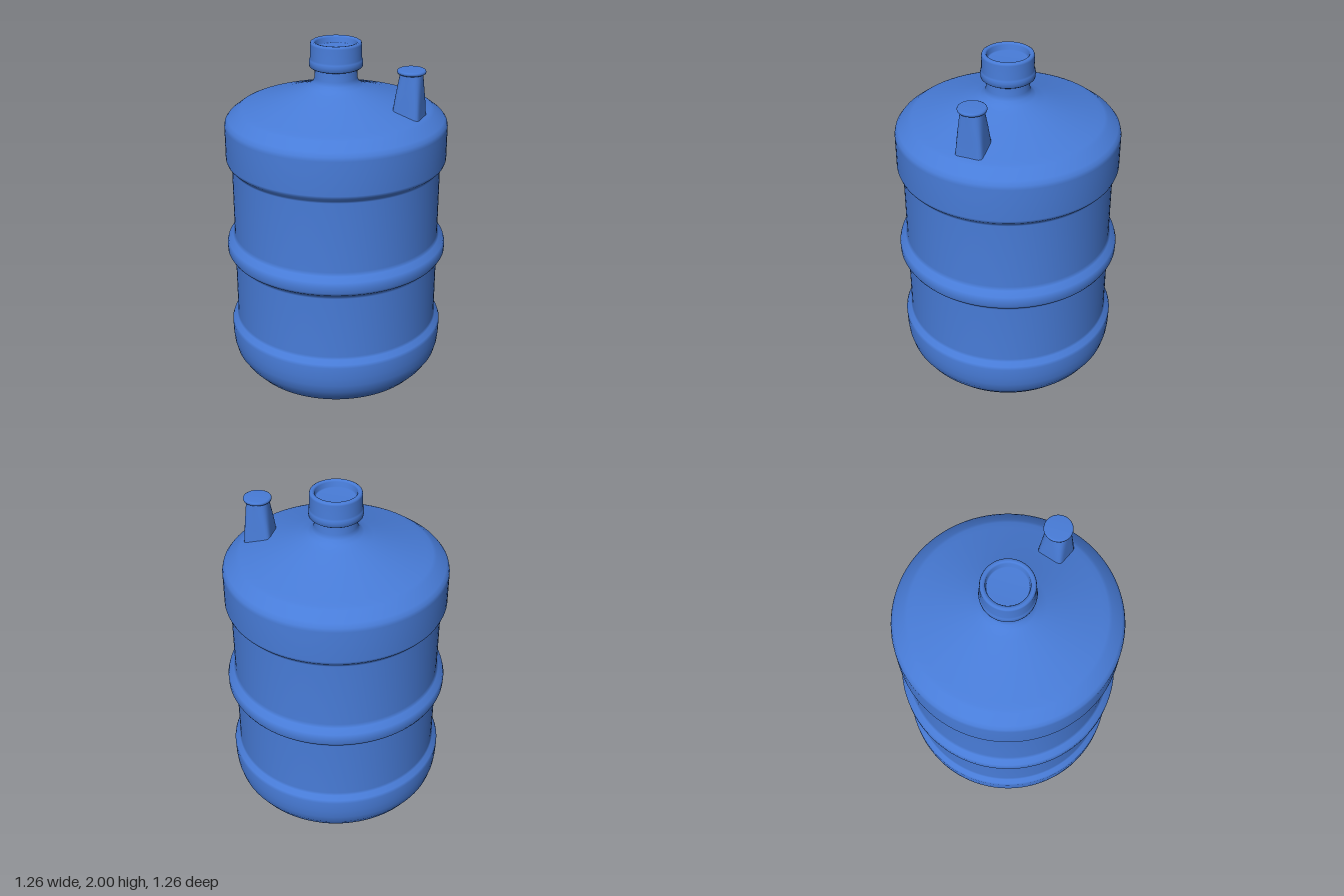
import * as THREE from 'three';

const blue = new THREE.MeshStandardMaterial({ color: 0x487cd8 });
blue.name = 'blue plastic';

function lathe(name, points, segments) {
  const profile = points.map(([r, y]) => new THREE.Vector2(r, y));
  const mesh = new THREE.Mesh(new THREE.LatheGeometry(profile, segments), blue);
  mesh.name = name;
  return mesh;
}

// Loft from a rounded square to a circle; each ring is [y, half width, squareness exponent, x shift]
function loft(name, rings, sides) {
  const pos = [], index = [];
  rings.forEach(([y, h, n, dx]) => {
    for (let i = 0; i < sides; i++) {
      const a = (i / sides) * Math.PI * 2, c = Math.cos(a), s = Math.sin(a);
      const r = h / Math.pow(Math.abs(c) ** n + Math.abs(s) ** n, 1 / n);
      pos.push(c * r + dx, y, s * r);
    }
  });
  for (let j = 0; j < rings.length - 1; j++) {
    for (let i = 0; i < sides; i++) {
      const k = (i + 1) % sides;
      const a = j * sides + i, b = j * sides + k, c = a + sides, d = b + sides;
      index.push(a, c, b, b, c, d);
    }
  }
  const geo = new THREE.BufferGeometry();
  geo.setAttribute('position', new THREE.Float32BufferAttribute(pos, 3));
  geo.setIndex(index);
  geo.computeVertexNormals();
  const mesh = new THREE.Mesh(geo, blue);
  mesh.name = name;
  return mesh;
}

export function createModel() {
  const model = new THREE.Group();
  model.name = 'waterBottle';

  // Ribbed body with a conical shoulder and neck
  model.add(lathe('body', [
    [0, 0.005], [0.34, 0.003], [0.4, 0.01], [0.47, 0.026], [0.53, 0.055], [0.57, 0.1],
    [0.602, 0.15], [0.615, 0.2], [0.62, 0.25], [0.622, 0.32], [0.615, 0.338],
    [0.594, 0.36], [0.588, 0.375], [0.588, 0.74],
    [0.594, 0.757], [0.622, 0.778], [0.631, 0.795], [0.632, 0.83], [0.625, 0.855],
    [0.598, 0.88], [0.588, 0.9], [0.588, 1.3],
    [0.594, 1.314], [0.614, 1.334], [0.62, 1.352], [0.62, 1.54], [0.615, 1.562],
    [0.6, 1.582], [0.545, 1.624], [0.525, 1.633], [0.49, 1.643], [0.35, 1.685],
    [0.2, 1.735], [0.15, 1.757], [0.127, 1.775], [0.117, 1.8], [0.115, 1.87],
  ], 96));

  // Cap with a lower flange and a recessed top
  model.add(lathe('cap', [
    [0.1, 1.855], [0.137, 1.856], [0.146, 1.863], [0.148, 1.885], [0.146, 1.9],
    [0.141, 1.908], [0.141, 1.985], [0.138, 1.995], [0.13, 2], [0.118, 1.998],
    [0.112, 1.99], [0.11, 1.965], [0.105, 1.96], [0, 1.96],
  ], 64));

  // Side spout, turned to face the bottle's axis
  const spout = new THREE.Group();
  spout.name = 'spout';
  spout.position.set(0.42, 0, -0.105);
  spout.rotation.y = 0.27;
  spout.add(loft('spoutStem', [
    [1.61, 0.079, 9, 0], [1.66, 0.075, 9, 0], [1.72, 0.071, 6, 0.002],
    [1.78, 0.067, 4, 0.004], [1.83, 0.063, 3, 0.006], [1.885, 0.06, 2, 0.008],
  ], 48));
  const lid = lathe('spoutLid', [
    [0, 1.872], [0.066, 1.872], [0.075, 1.877], [0.077, 1.885],
    [0.075, 1.892], [0.068, 1.896], [0, 1.896],
  ], 40);
  lid.position.x = 0.008;
  spout.add(lid);
  model.add(spout);

  return model;
}
